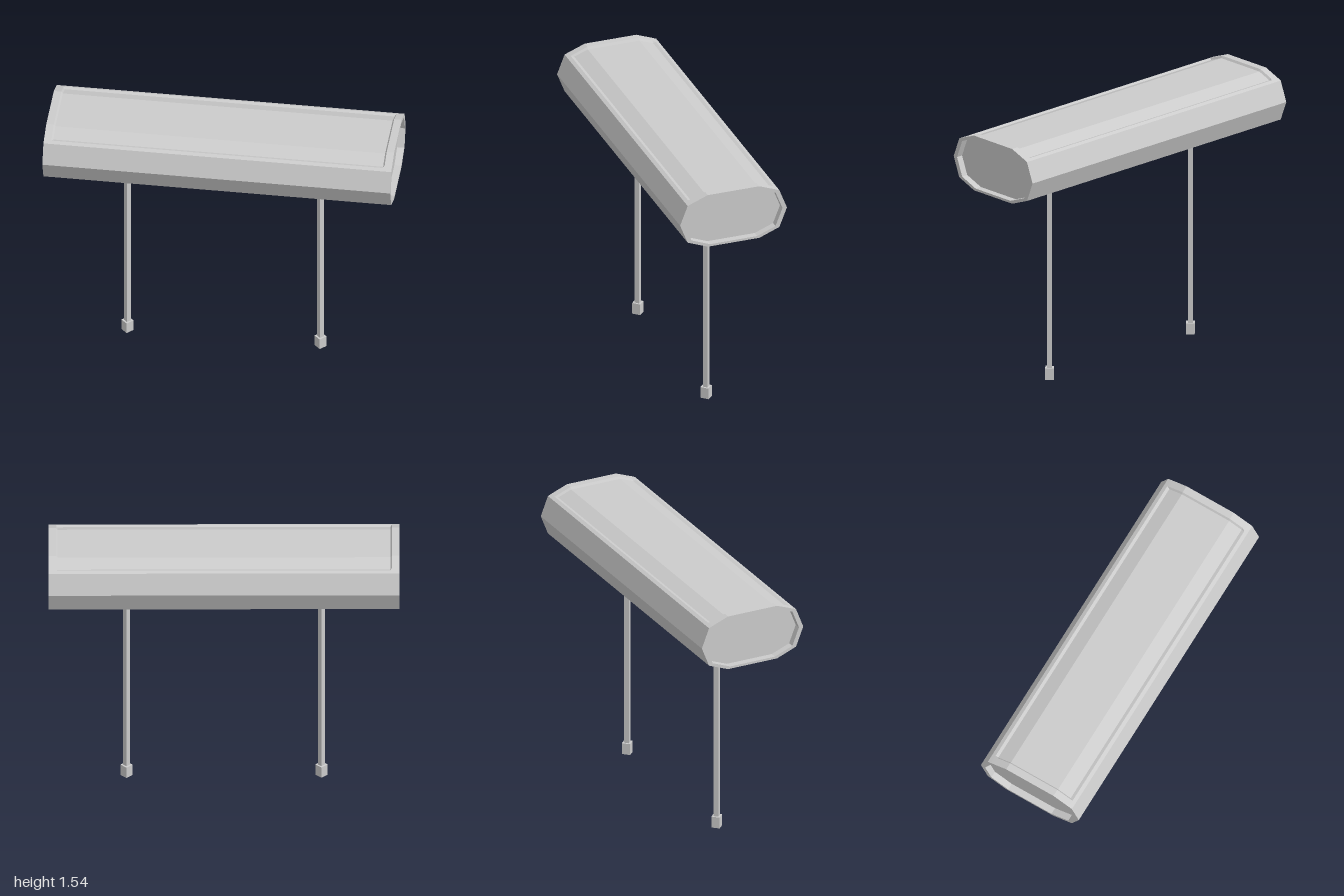
import * as THREE from 'three';

const CENTRE_Y = 1.372;

// Half outline of the tank section as [z, y]; the top carries extra points for the sunken panel.
function section(sunken) {
  const drop = sunken ? 0.012 : 0;
  const top = [[0.258, 1.499], [0.24, 1.506 - drop], [0.157, 1.538 - drop]];
  const mirror = (list) => list.map(([z, y]) => [-z, y]).reverse();
  const upper = [[0.325, CENTRE_Y], [0.279, 1.49], ...top];
  const lower = [[0.157, 1.207], [0.279, 1.255]];
  return [...upper, ...mirror(upper), ...mirror(lower), ...lower];
}

// Loft of rings [x, scale, sunken] along x.
function loft(rings) {
  const points = rings.map(([x, scale, sunken]) => section(sunken).map(
    ([z, y]) => [x, CENTRE_Y + (y - CENTRE_Y) * scale, z * scale]));
  const n = points[0].length;
  const positions = [];
  for (let i = 0; i < rings.length - 1; i++) {
    for (let j = 0; j < n; j++) {
      const k = (j + 1) % n;
      const a = points[i][j], b = points[i][k];
      const c = points[i + 1][j], d = points[i + 1][k];
      if (rings[i + 1][1] > 0) positions.push(...a, ...c, ...d);
      if (rings[i][1] > 0) positions.push(...a, ...d, ...b);
    }
  }
  const geometry = new THREE.BufferGeometry();
  geometry.setAttribute('position', new THREE.Float32BufferAttribute(positions, 3));
  geometry.computeVertexNormals();
  return geometry;
}

export function createModel() {
  const model = new THREE.Group();
  const material = new THREE.MeshStandardMaterial({ color: 0xcccccc, flatShading: true });

  const add = (parent, name, geometry, y = 0) => {
    const mesh = new THREE.Mesh(geometry, material);
    mesh.name = name;
    mesh.position.y = y;
    parent.add(mesh);
  };

  // Ten-sided body with recessed end caps and a sunken top panel
  const half = [
    [-0.96, 0, false], [-0.96, 0.915, false], [-1, 0.915, false],
    [-1, 1, false], [-0.957, 1, false], [-0.948, 1, true],
  ];
  const otherHalf = half.map(([x, s, sunken]) => [-x, s, sunken]).reverse();
  add(model, 'body', loft([...half, ...otherHalf]));

  // Two square posts set corner-on, each with a flared bracket and a hollow foot
  const footProfile = [
    [0, 0.025], [0.021, 0.025], [0.021, 0], [0.035, 0], [0.035, 0.068], [0, 0.068],
  ].map(([r, y]) => new THREE.Vector2(r, y));
  for (const side of [-1, 1]) {
    const leg = new THREE.Group();
    leg.name = side > 0 ? 'leftLeg' : 'rightLeg';
    leg.position.x = side * 0.555;
    add(leg, 'post', new THREE.CylinderGeometry(0.02, 0.02, 1.12, 4), 0.62);
    add(leg, 'bracket', new THREE.CylinderGeometry(0.052, 0.037, 0.05, 4), 1.185);
    add(leg, 'foot', new THREE.LatheGeometry(footProfile, 4));
    model.add(leg);
  }
  return model;
}
